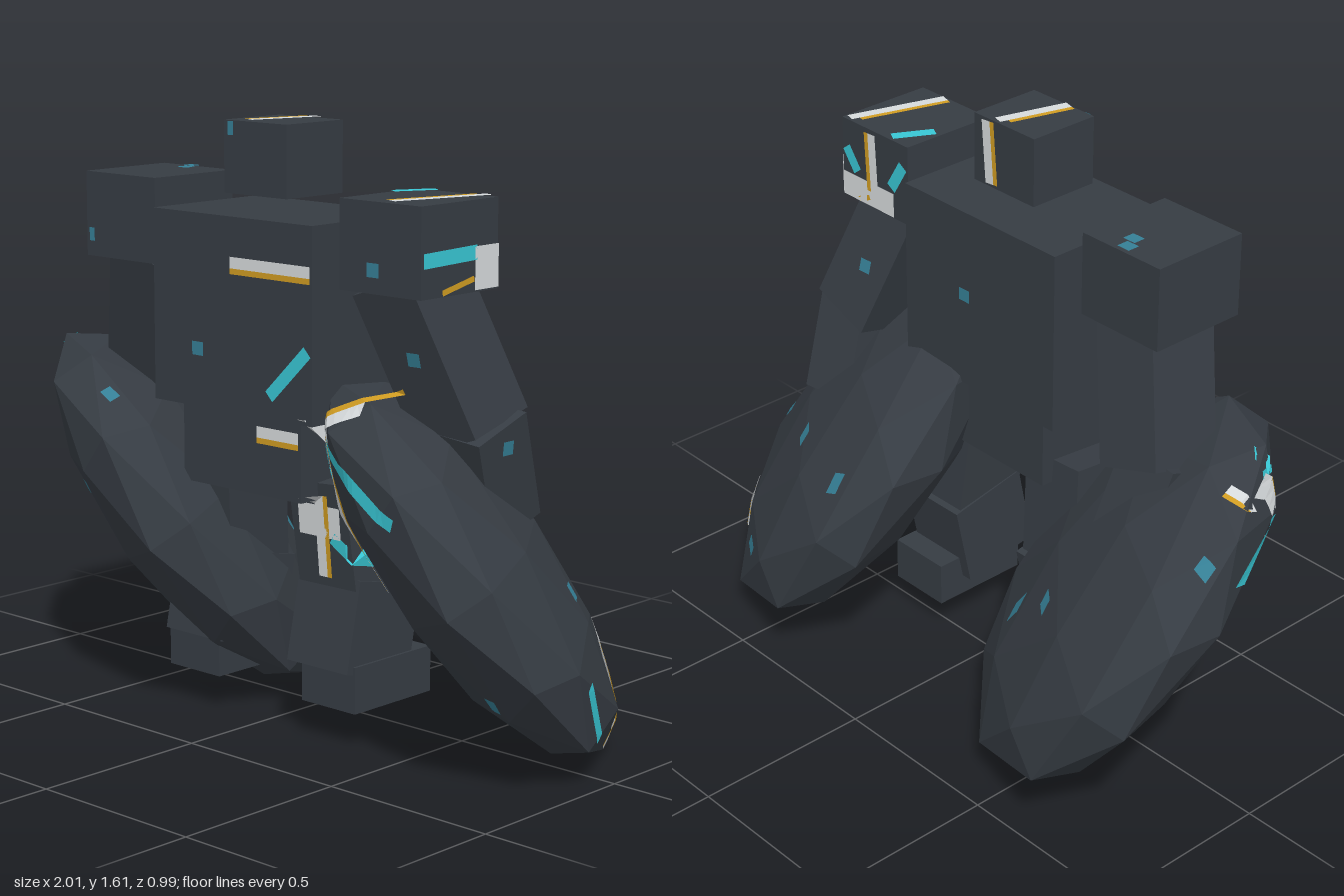
import * as THREE from 'three';

const mat = (name, color) => {
  const m = new THREE.MeshStandardMaterial();
  m.name = name;
  m.color.set(color);
  return m;
};

export function createModel() {
  const model = new THREE.Group();
  const parts = new THREE.Group();
  const paint = new THREE.Group();
  parts.name = 'body';
  paint.name = 'paintwork';
  model.add(parts, paint);

  const armour = mat('dark armour', 0x363c43);
  const white = mat('pale stripe', 0xd6dadc);
  const gold = mat('gold trim', 0xd09c22);
  const cyan = mat('cyan stripe', 0x38c6d4);
  const blue = mat('dull blue spot', 0x357f95);
  armour.flatShading = true;
  for (const m of [white, gold, cyan, blue]) m.side = THREE.DoubleSide;

  const V = (x, y, z) => new THREE.Vector3(x, y, z);
  const add = (name, geo) => {
    const mesh = new THREE.Mesh(geo, armour);
    mesh.name = name;
    parts.add(mesh);
    return mesh;
  };
  const box = (name, w, h, d, x, y, z) => {
    const mesh = add(name, new THREE.BoxGeometry(w, h, d));
    mesh.position.set(x, y, z);
    return mesh;
  };
  // Limb block running from one joint to another
  const limb = (name, w, d, from, to) => {
    const dir = from.clone().sub(to);
    const mesh = add(name, new THREE.BoxGeometry(w, dir.length(), d));
    mesh.position.copy(from).add(to).multiplyScalar(0.5);
    mesh.quaternion.setFromUnitVectors(V(0, 1, 0), dir.normalize());
    return mesh;
  };

  // Trunk
  box('head', 0.225, 0.19, 0.21, 0, 1.53, 0.15);
  box('torso', 0.575, 0.51, 0.39, 0, 1.135, 0.15);
  box('pelvis', 0.43, 0.22, 0.32, 0, 0.775, 0.15);

  // Limbs, and the two shields, which lean the same way
  const shieldBasis = new THREE.Matrix4().makeBasis(
    V(0.46, -0.385, 0.075), V(0.125, 0.12, -0.115), V(0.18, 0.287, 0.494));
  for (const [side, s] of [['left', 1], ['right', -1]]) {
    box(side + 'Shoulder', 0.27, 0.23, 0.29, s * 0.47, 1.345, 0.15);
    limb(side + 'UpperArm', 0.2, 0.22, V(s * 0.44, 1.27, 0.16), V(s * 0.575, 0.87, 0.055));
    limb(side + 'Forearm', 0.18, 0.19, V(s * 0.6, 0.9, 0.08), V(s * 0.57, 0.62, -0.02));
    limb(side + 'Thigh', 0.2, 0.22, V(s * 0.21, 0.72, 0.14), V(s * 0.23, 0.4, 0.11));
    limb(side + 'Shin', 0.215, 0.24, V(s * 0.23, 0.44, 0.1), V(s * 0.23, 0.2, 0.15));
    box(side + 'Foot', 0.19, 0.125, 0.295, s * 0.25, 0.178, 0.098);
    const geo = new THREE.IcosahedronGeometry(1, 1).applyMatrix4(shieldBasis);
    geo.computeVertexNormals();
    add(side + 'Shield', geo).position.set(s * 0.515, 0.5, 0);
  }
  parts.updateMatrixWorld(true);

  // Paint: ribbons laid on whatever surface faces the given direction
  const facing = {
    front: { dir: V(0, 0, -1), at: (a, b) => V(a, b, 5) },
    back: { dir: V(0, 0, 1), at: (a, b) => V(a, b, -5) },
    side: { dir: V(-1, 0, 0), at: (a, b) => V(5, b, a) },
    top: { dir: V(0, -1, 0), at: (a, b) => V(a, 5, b) },
  };
  const ray = new THREE.Raycaster();
  const onSurface = (face, a, b) => {
    const f = facing[face];
    ray.set(f.at(a, b), f.dir);
    const hit = ray.intersectObject(parts, true)[0];
    if (!hit) return null;
    const n = hit.face.normal.clone().transformDirection(hit.object.matrixWorld);
    return hit.point.addScaledVector(n, 0.005);
  };
  const ribbon = (name, face, [a0, b0, a1, b1], width, material, shift = 0) => {
    const len = Math.hypot(a1 - a0, b1 - b0);
    const pa = -(b1 - b0) / len, pb = (a1 - a0) / len;
    const steps = Math.max(1, Math.ceil(len / 0.025));
    const rows = [];
    for (let i = 0; i <= steps; i++) {
      const t = i / steps;
      rows.push([-0.5, 0.5].map((k) => {
        const o = shift + k * width;
        return onSurface(face, a0 + (a1 - a0) * t + pa * o, b0 + (b1 - b0) * t + pb * o);
      }));
    }
    const pos = [];
    for (let i = 0; i < steps; i++) {
      const [p, q, r, s] = [...rows[i], ...rows[i + 1]];
      if (![p, q, r, s].every(Boolean)) continue;
      if (Math.max(p.distanceTo(q), p.distanceTo(r), q.distanceTo(s), r.distanceTo(s)) > 0.13) continue;
      for (const v of [p, r, q, q, r, s]) pos.push(v.x, v.y, v.z);
    }
    if (!pos.length) return;
    const geo = new THREE.BufferGeometry();
    geo.setAttribute('position', new THREE.Float32BufferAttribute(pos, 3));
    geo.computeVertexNormals();
    const mesh = new THREE.Mesh(geo, material);
    mesh.name = name;
    paint.add(mesh);
  };
  // Pale stripe with a gold edge on one side (sign picks the side)
  const trimmed = (face, line, sign = -1) => {
    ribbon('paleStripe', face, line, 0.03, white);
    ribbon('goldTrim', face, line, 0.015, gold, sign * 0.0225);
  };

  // Trunk and head stripes
  trimmed('front', [0, 1.272, 0.284, 1.272]);
  trimmed('front', [0.06, 0.833, 0.21, 0.833]);
  trimmed('top', [-0.025, 0.25, 0.03, 0.05]);
  trimmed('back', [0.05, 1.445, 0.065, 1.62], 1);
  // Left shoulder
  trimmed('top', [0.5, 0.285, 0.58, 0.01]);
  ribbon('shoulderBand', 'side', [0.29, 1.325, 0.09, 1.33], 0.038, cyan);
  ribbon('shoulderPatch', 'side', [0.052, 1.235, 0.052, 1.345], 0.09, white);
  ribbon('shoulderTrim', 'side', [0.22, 1.24, 0.1, 1.265], 0.015, gold);
  trimmed('back', [0.47, 1.28, 0.48, 1.45]);
  ribbon('shoulderPatch', 'back', [0.39, 1.27, 0.6, 1.27], 0.07, white);
  trimmed('back', [0.5, 1.28, 0.59, 1.24]);
  // Burst on the left shield
  trimmed('front', [0.3, 0.85, 0.49, 0.475], 1);
  trimmed('front', [0.3, 0.88, 0.48, 0.955], 1);
  ribbon('burstCentre', 'front', [0.24, 0.865, 0.36, 0.865], 0.06, white);
  // Burst on the left thigh
  ribbon('thighBurst', 'front', [0.145, 0.61, 0.29, 0.61], 0.085, white);
  trimmed('front', [0.22, 0.68, 0.22, 0.46], 1);
  // Other shield stripes
  trimmed('front', [-0.81, 0.54, -0.775, 0.46], 1);
  trimmed('front', [-0.92, 0.9, -0.85, 0.92], 1);
  trimmed('front', [-0.87, 0.91, -0.89, 0.84], 1);
  trimmed('side', [-0.25, 0.29, -0.225, 0.17], 1);
  trimmed('side', [-0.225, 0.17, -0.14, 0.05], 1);
  trimmed('top', [0.73, -0.25, 0.83, -0.21]);
  trimmed('top', [-0.92, 0.035, -0.85, 0.02]);

  const cyanLines = [
    ['front', 0.14, 0.94, 0.275, 1.07],
    ['front', 0.34, 0.85, 0.69, 0.715],
    ['front', 0.27, 0.82, 0.25, 0.73],
    ['front', 0.26, 0.57, 0.35, 0.51],
    ['front', -0.985, 0.73, -0.88, 0.82],
    ['front', -0.85, 0.92, -0.82, 0.97],
    ['side', 0.085, 0.285, 0.005, 0.13],
    ['top', 0.355, 0.12, 0.41, 0.015],
    ['top', 0.955, 0.02, 0.965, 0.09],
    ['top', -0.84, 0.15, -0.81, 0.18],
    ['back', 0.4, 1.32, 0.35, 1.4],
    ['back', 0.54, 1.32, 0.6, 1.4],
  ];
  for (const [face, ...line] of cyanLines) ribbon('cyanStripe', face, line, 0.035, cyan);

  // Small worn spots
  const spots = [
    ['front', -0.12, 1.035], ['front', -0.49, 0.62], ['front', 0.85, 0.26], ['front', 0.52, 1.065],
    ['front', 0.45, 1.29], ['front', -0.59, 1.29], ['front', -0.095, 1.605],
    ['top', 0.21, -0.37], ['top', -0.35, -0.22], ['top', -0.43, 0.38], ['top', -0.95, -0.16],
    ['top', -0.47, 0.03], ['top', -0.45, 0.07],
    ['side', -0.05, 0.47], ['side', -0.41, 0.28], ['side', 0.055, 0.84],
    ['back', 0.05, 1.15], ['back', 0.5, 1.05], ['back', 0.5, 0.6], ['back', -0.5, 0.55],
  ];
  for (const [face, a, b] of spots) ribbon('wornSpot', face, [a - 0.02, b, a + 0.02, b], 0.036, blue);

  return model;
}
